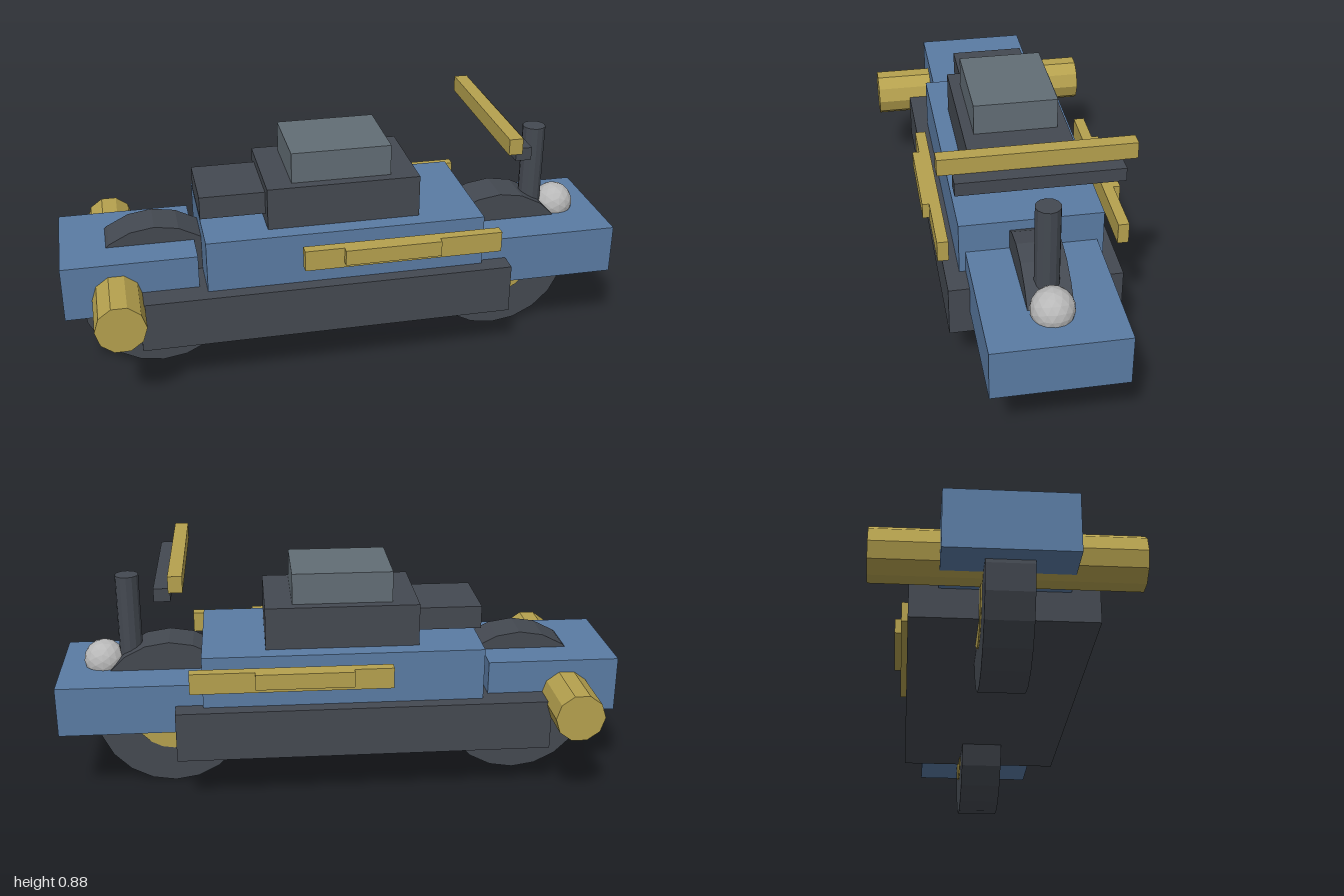
import * as THREE from 'three';

const mat = (color) => new THREE.MeshStandardMaterial({ color, flatShading: true });

export function createModel() {
  const group = new THREE.Group();
  const blue = mat(0x5a7ba3), dark = mat(0x444951), gold = mat(0xb5a14e);
  const slate = mat(0x626d75), silver = mat(0xb8b8b8);

  const add = (name, geometry, material, x, y, z) => {
    const mesh = new THREE.Mesh(geometry, material);
    mesh.name = name;
    mesh.position.set(x, y, z);
    group.add(mesh);
    return mesh;
  };

  // Box given by its limits along each axis
  const box = (name, material, x0, x1, y0, y1, z0, z1) =>
    add(name, new THREE.BoxGeometry(x1 - x0, y1 - y0, z1 - z0), material,
      (x0 + x1) / 2, (y0 + y1) / 2, (z0 + z1) / 2);

  // Cylinder lying across the vehicle, with a corner pointing along x
  const axle = (name, material, x, y, r, halfWidth, sides) =>
    add(name, new THREE.CylinderGeometry(r, r, halfWidth * 2, sides)
      .rotateY(Math.PI / 2).rotateX(Math.PI / 2), material, x, y, 0);

  // Wheels: tyre, hub and hub cap
  for (const [side, x] of [['rear', -0.667], ['front', 0.607]]) {
    axle(side + 'Tyre', dark, x, 0.275, 0.275, 0.075, 20);
    axle(side + 'Hub', gold, x, 0.275, 0.14, 0.08, 20);
    axle(side + 'HubCap', silver, x, 0.275, 0.062, 0.087, 12);
  }

  // Body, fenders and lower skirt
  box('skirt', dark, -0.745, 0.585, 0.187, 0.368, -0.297, 0.297);
  box('body', blue, -0.505, 0.488, 0.3, 0.555, -0.247, 0.247);
  box('rearFender', blue, -1, -0.53, 0.288, 0.487, -0.206, 0.206);
  box('frontFender', blue, 0.488, 1, 0.267, 0.447, -0.225, 0.225);

  // Stacked deck, seat and rear block
  box('deck', dark, -0.28, 0.264, 0.555, 0.707, -0.185, 0.185);
  box('seat', slate, -0.188, 0.167, 0.707, 0.818, -0.147, 0.147);
  box('rearBlock', dark, -0.51, -0.28, 0.593, 0.675, -0.132, 0.132);

  // Side rails with a raised middle pad
  for (const s of [-1, 1]) {
    const side = s > 0 ? 'left' : 'right';
    box(side + 'Rail', gold, -0.175, 0.53, 0.453, 0.528, s * 0.304 - 0.019, s * 0.304 + 0.019);
    box(side + 'RailPad', gold, -0.037, 0.304, 0.472, 0.528, s * 0.325 - 0.022, s * 0.325 + 0.022);
  }

  // Rear cross pipe
  axle('crossPipe', gold, -0.814, 0.358, 0.0875, 0.423, 10);

  // Steering post, handlebars and lamp
  add('steeringPost', new THREE.CylinderGeometry(0.042, 0.042, 0.365, 12), dark, 0.747, 0.603, 0);
  box('handlebar', gold, 0.535, 0.583, 0.821, 0.878, -0.32, 0.32);
  box('crossBar', dark, 0.579, 0.635, 0.775, 0.821, -0.272, 0.272);
  add('lamp', new THREE.IcosahedronGeometry(0.073, 2), silver, 0.845, 0.467, 0);

  return group;
}
